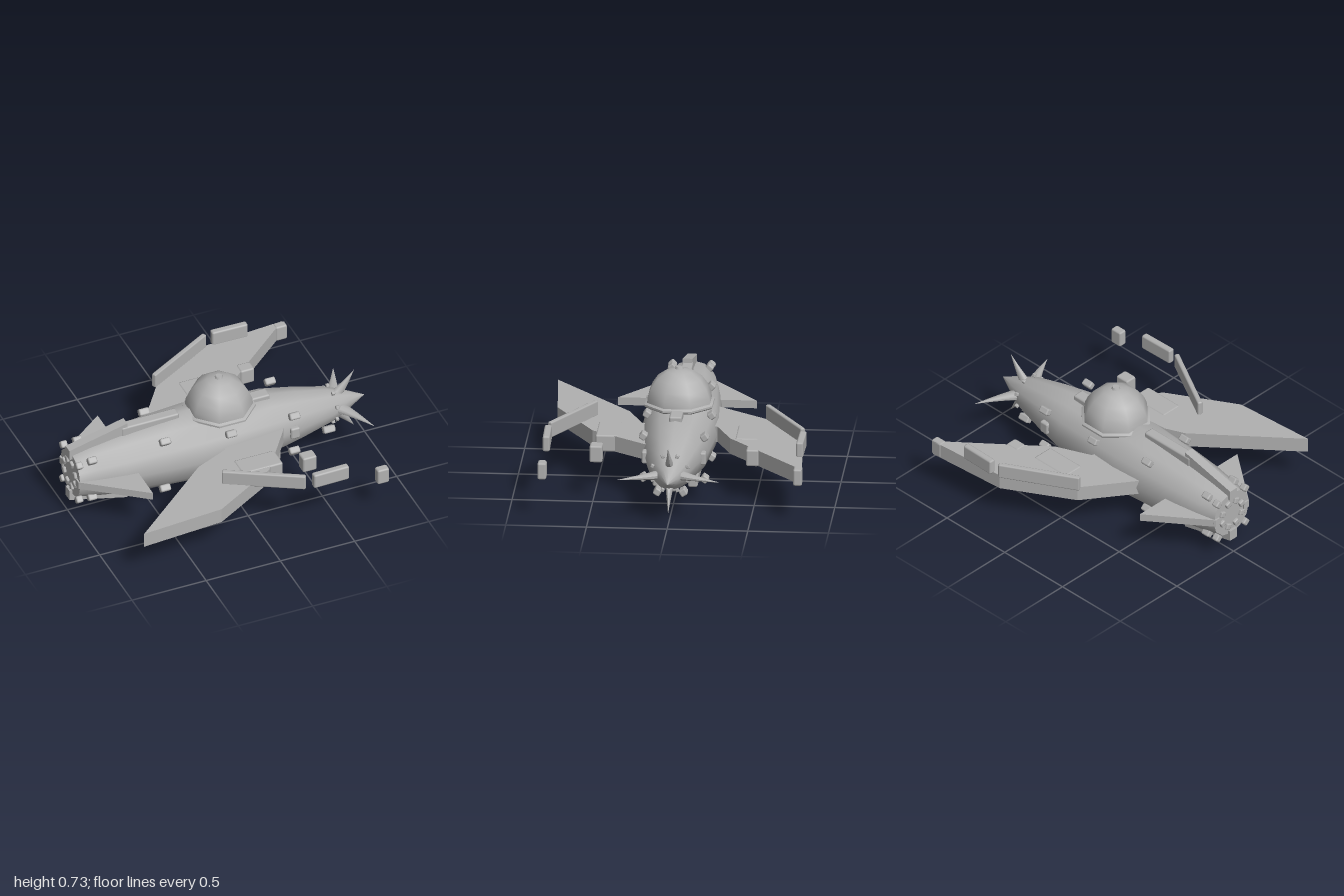
import * as THREE from 'three';
import { toCreasedNormals } from 'three/addons/utils/BufferGeometryUtils.js';
import { RoundedBoxGeometry } from 'three/addons/geometries/RoundedBoxGeometry.js';

const AXIS_Y = 0.29; // height of the hull axis

export function createModel() {
  const model = new THREE.Group();
  model.name = 'spacecraft';
  const hullGrey = new THREE.MeshStandardMaterial({ color: 0xb0b0b0 });
  hullGrey.name = 'hull grey';

  const add = (name, geometry, parent = model) => {
    const mesh = new THREE.Mesh(geometry, hullGrey);
    mesh.name = name;
    parent.add(mesh);
    return mesh;
  };
  // Bevelled block from its lower and upper corners
  const block = (name, x0, x1, y0, y1, z0, z1) => {
    const s = [x1 - x0, y1 - y0, z1 - z0];
    const mesh = add(name, new RoundedBoxGeometry(...s, 1, Math.min(0.012, Math.min(...s) * 0.3)));
    mesh.position.set((x0 + x1) / 2, (y0 + y1) / 2, (z0 + z1) / 2);
    return mesh;
  };
  // Bar standing on the line between two plan points
  const bar = (name, x0, z0, x1, z1, y0, y1, thick) => {
    const mesh = block(name, 0, Math.hypot(x1 - x0, z1 - z0), y0, y1, 0, thick);
    mesh.position.set((x0 + x1) / 2, (y0 + y1) / 2, (z0 + z1) / 2);
    mesh.rotation.y = -Math.atan2(z1 - z0, x1 - x0);
  };
  // Flat outline extruded evenly to both sides of its plane
  const plate = (points, depth) => {
    const shape = new THREE.Shape(points.map(p => new THREE.Vector2(...p)));
    return new THREE.ExtrudeGeometry(shape, { depth, bevelEnabled: false }).translate(0, 0, -depth / 2);
  };
  const lathe = (points, sides, start = 0) =>
    new THREE.LatheGeometry(points.map(p => new THREE.Vector2(...p)), sides, start);

  // Hull: spindle along x with a shallow dip below the canopy
  const hull = lathe([[0, -0.98], [0.155, -0.98], [0.18, -0.86], [0.207, -0.68], [0.23, -0.4], [0.243, -0.18],
    [0.23, 0.02], [0.205, 0.33], [0.165, 0.54], [0.115, 0.75], [0.06, 0.88], [0, 1]], 12);
  hull.rotateZ(-Math.PI / 2);
  const p = hull.attributes.position;
  for (let i = 0; i < p.count; i++) {
    if (Math.abs(p.getX(i) - 0.02) < 0.05 && p.getY(i) > 0.18) p.setY(i, 0.18);
  }
  add('hull', toCreasedNormals(hull, 0.9)).position.y = AXIS_Y;

  // Canopy: octagonal rim, dome and cap
  const canopy = new THREE.Group();
  canopy.name = 'canopy';
  canopy.position.x = 0.02;
  model.add(canopy);
  const eighth = Math.PI / 8;
  add('canopyRim', toCreasedNormals(lathe([[0, 0.49], [0.215, 0.49], [0.228, 0.5], [0.228, 0.512],
    [0.21, 0.522], [0, 0.522]], 8, eighth), 0.5), canopy);
  add('canopyDome', toCreasedNormals(lathe([[0.212, 0.515], [0.206, 0.56], [0.185, 0.61], [0.145, 0.665],
    [0.08, 0.71], [0, 0.73]], 8, eighth), 0.9), canopy);
  add('canopyCap', new THREE.CylinderGeometry(0.022, 0.03, 0.02, 8), canopy).position.y = 0.727;

  // Spine and belly strips
  block('canopyStep', 0.21, 0.35, 0.46, 0.515, -0.04, 0.04);
  block('spineStrip', -0.65, -0.26, 0.47, 0.55, -0.035, 0.035);
  block('bellyRearStrip', -0.63, -0.14, 0.035, 0.1, -0.035, 0.035);
  block('bellyFrontStrip', -0.11, 0.29, 0.045, 0.12, -0.035, 0.035);
  for (const s of [-1, 1]) block('bellySideStrip', -0.1, 0.38, 0.07, 0.13, s * 0.11 - 0.03, s * 0.11 + 0.03);
  block('chinStrip', 0.5, 0.64, 0.125, 0.17, -0.03, 0.03);

  // Tail fins: side pair reaches further than the vertical pair
  for (let i = 0; i < 4; i++) {
    const side = i % 2 === 1;
    const outline = side ? [[-0.99, 0.1], [-0.61, 0.15], [-0.61, 0.43], [-0.99, 0.145]]
      : [[-1, 0.12], [-0.61, 0.15], [-0.61, 0.287], [-1, 0.19]];
    const fin = add('tailFin', plate(outline, side ? 0.05 : 0.06));
    fin.position.y = AXIS_Y;
    fin.rotation.x = i * Math.PI / 2;
  }

  // Wings: one swept back and one swept forward
  for (const turn of [0, Math.PI]) {
    const outline = [[-0.82, 0.82], [-0.28, 0.78], [0.15, 0.53], [0.4, 0.18], [0, 0.18], [-0.02, 0.235], [-0.24, 0.33]];
    const wing = add('wing', plate(outline.reverse(), 0.1).rotateX(Math.PI / 2));
    wing.position.set(-0.02, 0.293, 0);
    wing.rotation.y = turn;
  }

  // Blocks and rails alongside the wings, mirrored in z
  for (const s of [-1, 1]) {
    const mirrored = (name, x0, x1, y0, y1, z0, z1) =>
      block(name, x0, x1, y0, y1, Math.min(s * z0, s * z1), Math.max(s * z0, s * z1));
    mirrored('wingPod', -0.04, 0.235, 0.239, 0.347, 0.36, 0.505);
    mirrored('podNose', 0.36, 0.455, 0.24, 0.347, 0.445, 0.525);
    mirrored('wingTipBlock', 0.735, 0.815, 0.24, 0.347, 0.765, 0.82);
    bar('wingRail', -0.19, s * 0.53, 0.265, s * 0.785, 0.335, 0.435, 0.033);
    bar('wingTipRail', 0.31, s * 0.79, 0.55, s * 0.793 + s * -0.008, 0.335, 0.435, 0.045);
    mirrored('hullSideBlock', 0.42, 0.485, 0.25, 0.33, 0.16, 0.2);
  }

  // Studs: four around the hull at each station [x, height offset, z, length]
  const stations = [[-0.975, 0.13, 0.12, 0.045], [-0.885, 0.14, 0.115, 0.06], [-0.415, 0.18, 0.165, 0.07],
    [0.015, 0.135, 0.2, 0.07], [0.445, 0.135, 0.19, 0.07], [0.725, -0.13, 0.08, 0.08]];
  for (const [x, dy, z, len] of stations) {
    for (const sy of dy > 0 ? [-1, 1] : [1]) {
      for (const sz of [-1, 1]) {
        const stud = add('hullStud', new RoundedBoxGeometry(len, 0.045, 0.045, 1, 0.01));
        stud.position.set(x, AXIS_Y + sy * dy, sz * z);
        stud.rotation.x = Math.atan2(sz * z, sy * dy);
      }
    }
  }

  // Small blocks around the tail end and the nose
  const ring = (name, count, x, radius, size, start) => {
    for (let i = 0; i < count; i++) {
      const a = start + i / count * Math.PI * 2;
      const b = add(name, new RoundedBoxGeometry(size, size, size, 1, size * 0.2));
      b.position.set(x, AXIS_Y + Math.cos(a) * radius, Math.sin(a) * radius);
      b.rotation.x = a;
    }
  };
  ring('tailBlock', 8, -0.978, 0.09, 0.04, eighth);
  ring('noseStud', 8, 0.77, 0.118, 0.022, eighth);

  // Nose horns: cones swept forward and outward
  for (let i = 0; i < 4; i++) {
    const reach = i % 2 ? 0.325 : 0.215;
    const cone = new THREE.ConeGeometry(1, 1, 10, 6);
    const v = cone.attributes.position;
    for (let j = 0; j < v.count; j++) {
      const t = v.getY(j) + 0.5;
      v.setXYZ(j, 0.79 + 0.14 * t + v.getX(j) * 0.06, 0.06 + (reach - 0.06) * Math.pow(t, 1.25), v.getZ(j) * 0.03);
    }
    const horn = add('noseHorn', toCreasedNormals(cone, 0.9));
    horn.position.y = AXIS_Y;
    horn.rotation.x = i * Math.PI / 2;
  }
  return model;
}
